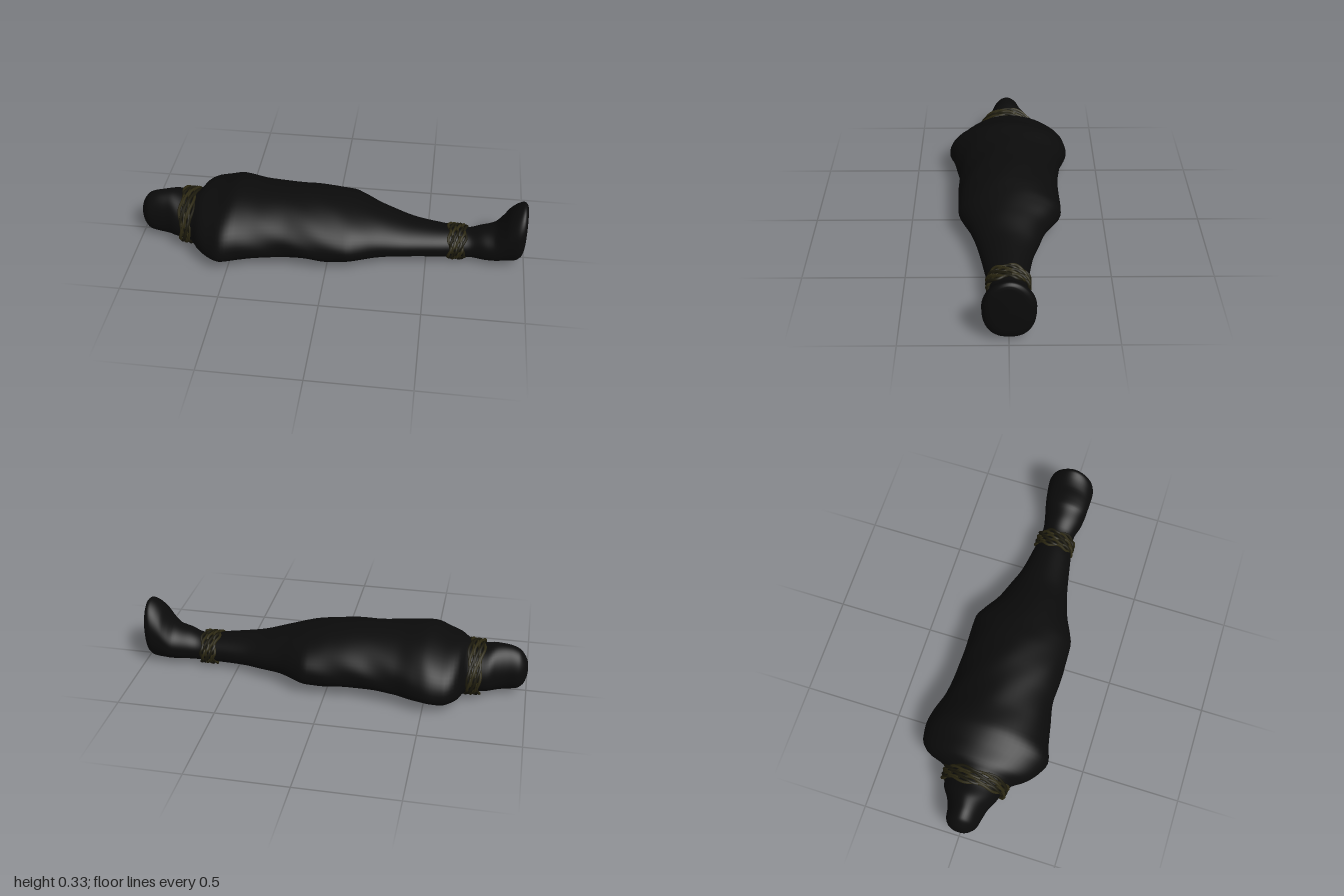
import * as THREE from 'three';

// [x, back z, front z] outline seen from above
const PLAN = [
  [-1, 0, 0], [-0.995, -0.03, 0.03], [-0.98, -0.058, 0.055], [-0.95, -0.077, 0.08], [-0.9, -0.086, 0.092], [-0.85, -0.108, 0.105],
  [-0.8, -0.14, 0.13], [-0.74, -0.152, 0.15], [-0.7, -0.17, 0.18], [-0.66, -0.275, 0.24], [-0.6, -0.322, 0.29],
  [-0.53, -0.33, 0.322], [-0.45, -0.315, 0.3], [-0.35, -0.285, 0.278], [-0.2, -0.268, 0.255], [-0.05, -0.27, 0.257],
  [0.1, -0.273, 0.25], [0.16, -0.245, 0.23], [0.25, -0.19, 0.19], [0.35, -0.155, 0.158], [0.45, -0.122, 0.135],
  [0.58, -0.1, 0.11], [0.65, -0.092, 0.094], [0.72, -0.086, 0.088], [0.8, -0.1, 0.108], [0.88, -0.118, 0.117],
  [0.95, -0.124, 0.122], [0.98, -0.113, 0.11], [0.993, -0.085, 0.085], [1, 0, 0]
];
// [x, underside y, top y, height fraction of the widest line] outline seen from the front
const SIDE = [
  [-1, 0.12, 0.12, 0.5], [-0.995, 0.085, 0.165, 0.5], [-0.98, 0.05, 0.2, 0.48], [-0.95, 0.027, 0.233, 0.45], [-0.9, 0.02, 0.25, 0.42],
  [-0.84, 0.018, 0.256, 0.4], [-0.77, 0.02, 0.242, 0.38], [-0.72, 0.02, 0.238, 0.36], [-0.66, 0.02, 0.267, 0.33],
  [-0.58, 0.012, 0.283, 0.3], [-0.48, 0.014, 0.308, 0.3], [-0.35, 0.02, 0.298, 0.33], [-0.12, 0.025, 0.291, 0.36],
  [0, 0.014, 0.28, 0.36], [0.1, 0.02, 0.26, 0.38], [0.25, 0.027, 0.222, 0.4], [0.4, 0.024, 0.18, 0.42],
  [0.58, 0.018, 0.157, 0.45], [0.7, 0.015, 0.145, 0.45], [0.77, 0.014, 0.168, 0.45], [0.84, 0.013, 0.188, 0.47],
  [0.88, 0.012, 0.235, 0.5], [0.91, 0.012, 0.285, 0.52], [0.95, 0.016, 0.322, 0.54], [0.975, 0.03, 0.333, 0.55],
  [0.993, 0.07, 0.318, 0.55], [1, 0.18, 0.2, 0.5]
];

// Smooth monotone interpolation of column c of a profile table
function sample(table, x, c) {
  const n = table.length;
  let i = 0;
  while (i < n - 2 && x > table[i + 1][0]) i++;
  const sec = (k) => (table[k + 1][c] - table[k][c]) / (table[k + 1][0] - table[k][0]);
  const slope = (k) => {
    if (k === 0) return sec(0);
    if (k === n - 1) return sec(n - 2);
    const a = sec(k - 1), b = sec(k);
    return a * b <= 0 ? 0 : (2 * a * b) / (a + b);
  };
  const h = table[i + 1][0] - table[i][0];
  const t = (x - table[i][0]) / h, t2 = t * t, t3 = t2 * t;
  return (2 * t3 - 3 * t2 + 1) * table[i][c] + (t3 - 2 * t2 + t) * h * slope(i) +
    (3 * t2 - 2 * t3) * table[i + 1][c] + (t3 - t2) * h * slope(i + 1);
}

// Point on the wrapped surface at station x and angle a, pushed out by off
function surfacePoint(x, a, off = 0) {
  const back = sample(PLAN, x, 1), front = sample(PLAN, x, 2);
  const low = sample(SIDE, x, 1), high = sample(SIDE, x, 2), f = sample(SIDE, x, 3);
  const mid = low + (high - low) * f;
  const s = Math.sin(a), c = Math.cos(a);
  const power = s > 0 ? 1.04 : 0.78; // domed above, flatter underneath
  const torso = Math.max(0, 1 - Math.abs(x + 0.2) / 0.6);
  const fold = 1 + 0.014 * torso * Math.sin(5 * a + 9 * x) * Math.sin(17 * x + 2 * a);
  const pow = (v) => Math.sign(v) * Math.pow(Math.abs(v), power);
  const z = (front + back) / 2 + ((front - back) / 2 * fold + off) * pow(c);
  const y = mid + ((s > 0 ? high - mid : mid - low) * (s > 0 ? fold : 1) + off) * pow(s);
  return new THREE.Vector3(x, y, z);
}

// Closed cloth skin lofted along x
function shroudGeometry(rows = 150, cols = 56) {
  const pos = [], index = [];
  for (let i = 0; i <= rows; i++) {
    const x = -Math.cos(Math.PI * i / rows);
    for (let j = 0; j < cols; j++) pos.push(...surfacePoint(x, j / cols * Math.PI * 2).toArray());
  }
  for (let i = 0; i < rows; i++) for (let j = 0; j < cols; j++) {
    const k = (j + 1) % cols;
    const a = i * cols + j, b = a + cols, c = i * cols + k, d = c + cols;
    index.push(a, b, c, b, d, c);
  }
  const g = new THREE.BufferGeometry();
  g.setAttribute('position', new THREE.Float32BufferAttribute(pos, 3));
  g.setIndex(index);
  g.computeVertexNormals();
  return g;
}

// Binding made of rope strands that weave across each other
function binding(name, centre, half, lean, off, materials) {
  const group = new THREE.Group();
  group.name = name;
  const strands = 8;
  for (let s = 0; s < strands; s++) {
    const lane = (s / (strands - 1)) * 2 - 1;
    const points = [];
    for (let j = 0; j < 48; j++) {
      const a = j / 48 * Math.PI * 2;
      const spread = half * (0.78 + 0.22 * Math.sin(a) ** 2);
      const weave = 0.007 * Math.sin(6 * a + s * 2.1);
      const x = centre + lane * spread + weave - lean * Math.sin(a);
      const p = surfacePoint(centre + (x - centre) * 0.3, a, off + 0.003 * Math.cos(6 * a + s * 2.1));
      p.x = x;
      points.push(p);
    }
    const curve = new THREE.CatmullRomCurve3(points, true);
    const rope = new THREE.Mesh(new THREE.TubeGeometry(curve, 96, 0.0075, 6, true), materials[s % materials.length]);
    rope.name = 'ropeStrand';
    group.add(rope);
  }
  return group;
}

export function createModel() {
  const cloth = new THREE.MeshStandardMaterial({ color: 0x0b0b0b });
  cloth.name = 'black cloth';
  const rope = new THREE.MeshStandardMaterial({ color: 0x2c2812 });
  rope.name = 'olive rope';
  const darkRope = new THREE.MeshStandardMaterial({ color: 0x1b190c });
  darkRope.name = 'dark rope';

  const model = new THREE.Group();
  model.name = 'wrappedBody';
  const shroud = new THREE.Mesh(shroudGeometry(), cloth);
  shroud.name = 'shroud';
  model.add(shroud);
  model.add(binding('neckBinding', -0.735, 0.034, 0.004, 0.01, [rope, darkRope]));
  model.add(binding('ankleBinding', 0.652, 0.042, 0, 0.006, [rope, darkRope]));
  return model;
}
